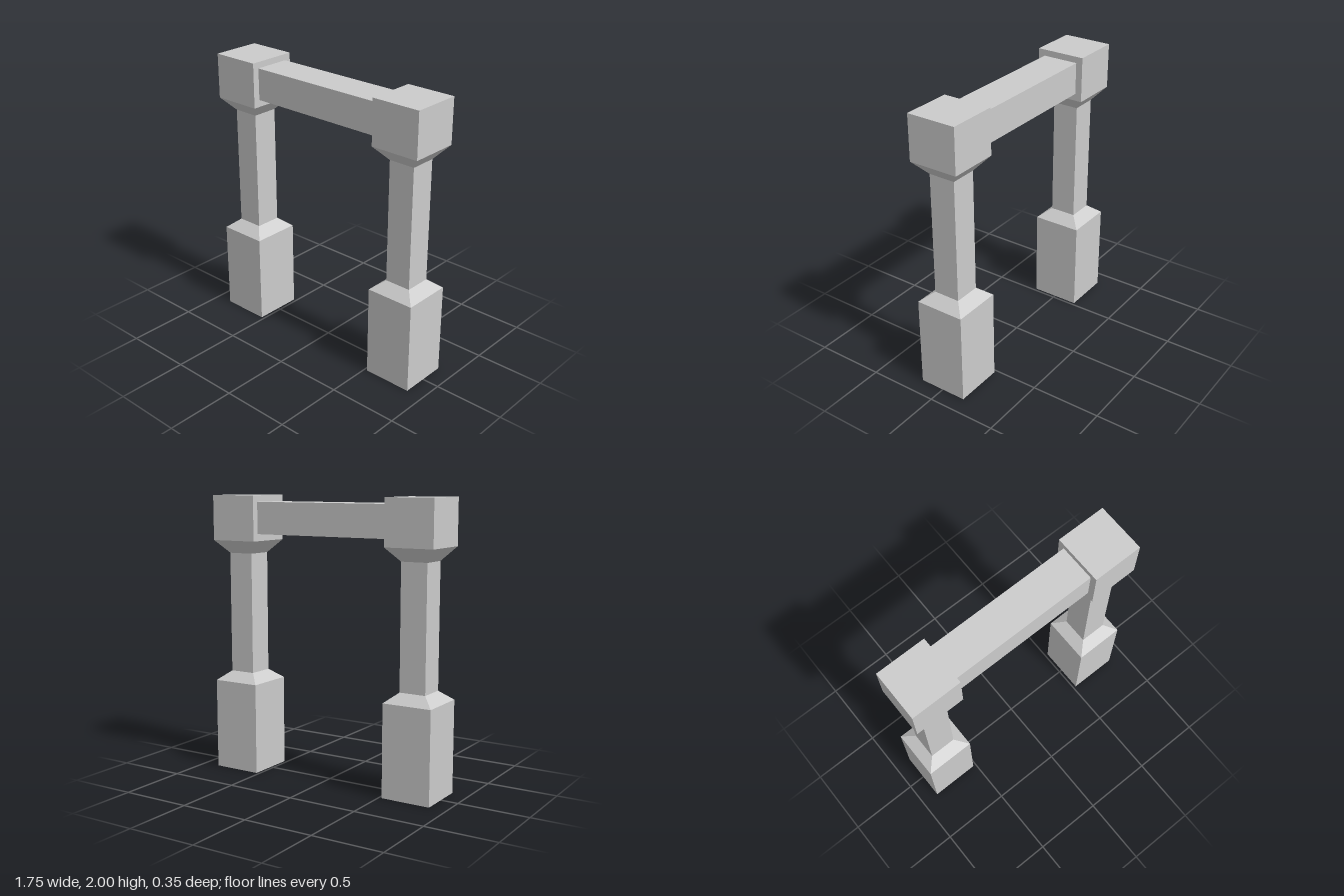
import * as THREE from 'three';

const material = new THREE.MeshStandardMaterial({ color: 0xcccccc, flatShading: true });

// Square-section part from a profile of [half width, height], listed upwards
function squareTurned(name, profile) {
  const points = profile.map(([half, y]) => new THREE.Vector2(half * Math.SQRT2, y));
  const mesh = new THREE.Mesh(new THREE.LatheGeometry(points, 4, Math.PI / 4), material);
  mesh.name = name;
  return mesh;
}

export function createModel() {
  const model = new THREE.Group();
  model.name = 'gateway';
  const wide = 0.177, narrow = 0.095, postX = 0.699;

  // Two matching posts: plinth, shaft and flared capital
  for (const [name, side] of [['leftPost', 1], ['rightPost', -1]]) {
    const post = new THREE.Group();
    post.name = name;
    post.add(
      squareTurned('plinth', [[0, 0], [wide, 0], [wide, 0.653], [narrow, 0.72]]),
      squareTurned('shaft', [[narrow, 0.72], [narrow, 1.587]]),
      squareTurned('capital', [[narrow, 1.587], [wide, 1.68], [wide, 2], [0, 2]])
    );
    post.position.x = side * postX;
    model.add(post);
  }

  // Beam spanning between the inner faces of the capitals
  const beam = new THREE.Mesh(new THREE.BoxGeometry(2 * (postX - wide), 0.225, 0.258), material);
  beam.name = 'lintel';
  beam.position.y = 1.843;
  model.add(beam);

  return model;
}
